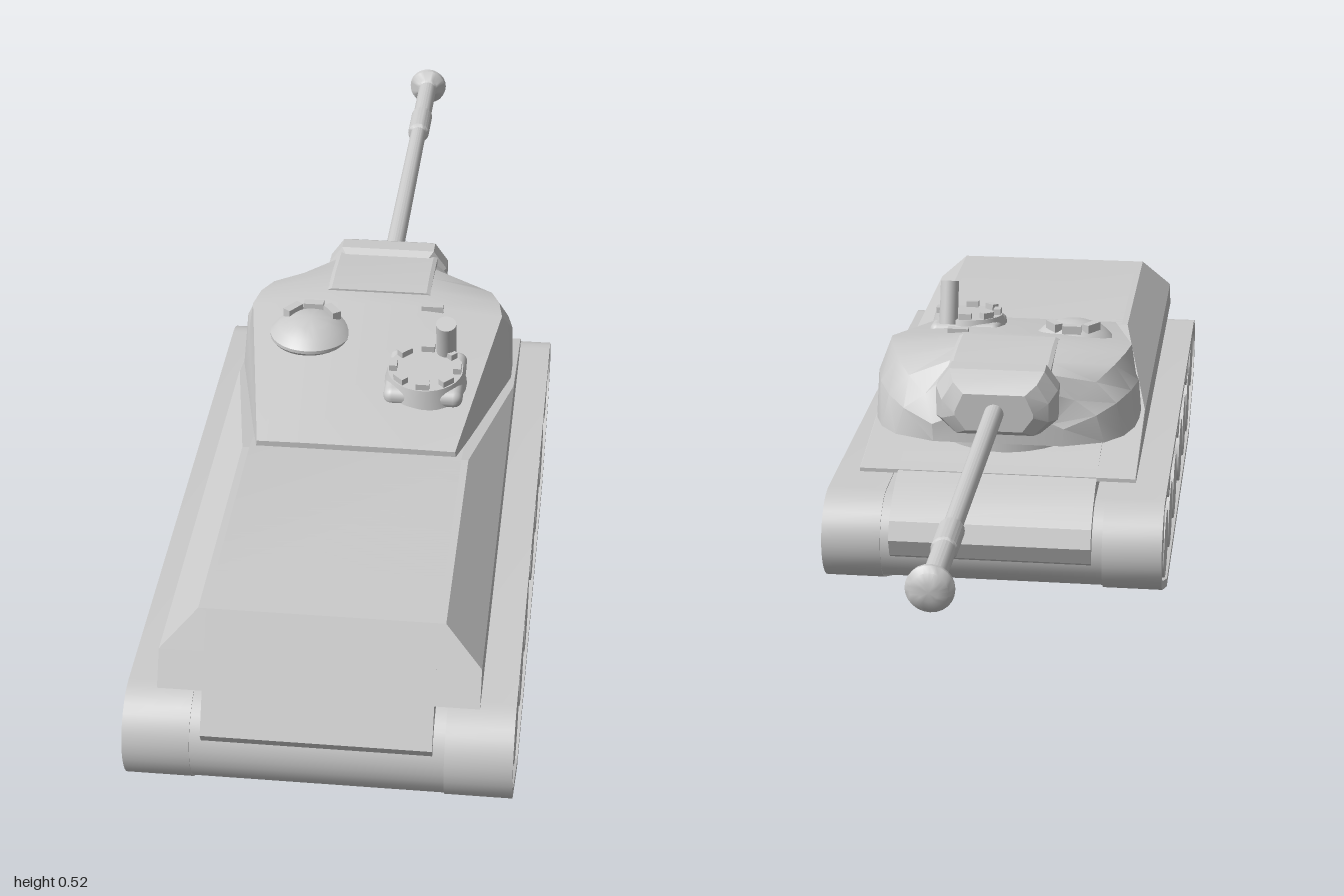
import * as THREE from 'three';
import { toCreasedNormals } from 'three/addons/utils/BufferGeometryUtils.js';
import { RoundedBoxGeometry } from 'three/addons/geometries/RoundedBoxGeometry.js';

const grey = new THREE.MeshStandardMaterial({ color: 0xcccccc });

function add(parent, name, geo, x = 0, y = 0, z = 0) {
  const mesh = new THREE.Mesh(geo, grey);
  mesh.name = name;
  mesh.position.set(x, y, z);
  parent.add(mesh);
  return mesh;
}

// Skin through rings that run anticlockwise seen from +z, ordered from +z to -z.
function loft(rings, crease = 0.4) {
  const out = [];
  const tri = (...ps) => ps.forEach((p) => out.push(...p));
  const n = rings[0].length;
  const centre = (r) => [0, 1, 2].map((k) => r.reduce((s, p) => s + p[k], 0) / n);
  const first = rings[0], last = rings[rings.length - 1];
  for (let i = 0; i < n; i++) {
    const j = (i + 1) % n;
    for (let r = 0; r < rings.length - 1; r++) {
      const a = rings[r], b = rings[r + 1];
      tri(a[i], b[i], a[j]);
      tri(a[j], b[i], b[j]);
    }
    tri(centre(first), first[i], first[j]);
    tri(centre(last), last[j], last[i]);
  }
  const geo = new THREE.BufferGeometry();
  geo.setAttribute('position', new THREE.Float32BufferAttribute(out, 3));
  geo.computeVertexNormals();
  return toCreasedNormals(geo, crease);
}

// Mirror the +x half of a section (bottom to top) into a closed ring.
const mirrored = (half) => [...half, ...half.map(([x, y, z]) => [-x, y, z]).reverse()];

// Extrude a side profile drawn in (z, y) from x0 to x1.
function sideExtrude(points, x0, x1, hole) {
  const shape = new THREE.Shape(points);
  if (hole) shape.holes.push(new THREE.Path(hole));
  const geo = new THREE.ExtrudeGeometry(shape, { depth: x1 - x0, bevelEnabled: false });
  return toCreasedNormals(geo.rotateY(-Math.PI / 2).translate(x1, 0, 0), 0.4);
}

const REAR = [0.915, 0.145], IDLER = [-0.17, 0.145];
function arc([cz, cy], r, from, to, steps = 14) {
  return Array.from({ length: steps + 1 }, (_, i) => {
    const a = THREE.MathUtils.degToRad(from + ((to - from) * i) / steps);
    return new THREE.Vector2(cz + r * Math.cos(a), cy + r * Math.sin(a));
  });
}
const trackLoop = (t) => [
  new THREE.Vector2(0.8 - t * 0.1, t), ...arc(REAR, 0.085 - t, -65.7, 90),
  ...arc(IDLER, 0.085 - t, 90, 248.4), new THREE.Vector2(-0.035 + t * 0.1, t),
];

function buildHull(root) {
  const hull = new THREE.Group();
  hull.name = 'hull';
  root.add(hull);
  const profile = [[0.94, 0.077], [1, 0.192], [0.9, 0.37], [0.44, 0.37], [-0.07, 0.28], [-0.18, 0.253],
    [-0.225, 0.232], [-0.26, 0.203], [-0.275, 0.17], [-0.262, 0.137], [-0.195, 0.092], [-0.16, 0.077]];
  add(hull, 'centreHull', sideExtrude(profile.map((p) => new THREE.Vector2(...p)), -0.185, 0.185));
  add(hull, 'lowerHullSides', sideExtrude(
    [...arc(REAR, 0.083, -53, 90), ...arc(IDLER, 0.083, 90, 233)], -0.204, 0.204));

  // Upper body: side overhangs with a chamfer that fades into the sloping front deck
  const section = (z, top, rake = 0) => {
    const shoulder = Math.min(0.31, top - 0.001);
    return mirrored([
      [0.257, 0.255, z + rake * (top - 0.255)],
      [0.257, shoulder, z + rake * (top - shoulder)],
      [0.257 - (top - shoulder), top, z],
    ]);
  };
  add(hull, 'upperHull', loft([
    section(0.9, 0.37, 0.56), section(0.44, 0.37), section(0.1, 0.31), section(-0.15, 0.262)], 0.1));
}

function buildRunningGear(root) {
  for (const side of [-1, 1]) {
    const gear = new THREE.Group();
    gear.name = side > 0 ? 'leftRunningGear' : 'rightRunningGear';
    root.add(gear);
    const [x0, x1] = side > 0 ? [0.204, 0.313] : [-0.313, -0.204];
    add(gear, 'track', sideExtrude(trackLoop(0), x0, x1, trackLoop(0.016)));
    const wheel = (name, z, y, r) => add(gear, name,
      new THREE.CylinderGeometry(r, r, 0.106, 28).rotateZ(Math.PI / 2), side * 0.256, y, z);
    for (const z of [0.79, 0.64, 0.49, 0.28, 0.13, -0.02]) wheel('roadWheel', z, 0.083, 0.065);
    for (const z of [0.717, 0.385, 0.056]) wheel('returnRoller', z, 0.177, 0.027);
    wheel('driveSprocket', 0.925, 0.145, 0.067);
    wheel('idlerWheel', IDLER[0], 0.145, 0.066);
  }
}

function buildTurret(root) {
  const turret = new THREE.Group();
  turret.name = 'turret';
  root.add(turret);

  // z, base half-width, base y, roof edge half-width, roof edge y, crown y
  const sections = [
    [0.43, 0.175, 0.365, 0.173, 0.378, 0.379],
    [0.08, 0.25, 0.317, 0.23, 0.447, 0.46],
    [0.03, 0.25, 0.317, 0.222, 0.446, 0.465],
    [-0.02, 0.245, 0.317, 0.205, 0.438, 0.463],
    [-0.07, 0.228, 0.317, 0.175, 0.42, 0.455],
    [-0.11, 0.195, 0.317, 0.14, 0.397, 0.445],
    [-0.14, 0.12, 0.317, 0.1, 0.36, 0.42],
  ];
  add(turret, 'turretShell', loft(sections.map(([z, wb, yb, wt, yt, yc], i) => {
    const bulge = i < 2 ? 0 : 0.012;
    return mirrored([[wb, yb, z], [(wb + wt) / 2 + bulge, (yb + yt) / 2 + bulge, z],
      [wt, yt, z], [0.09, yc, z]]);
  }), 0.45));
  add(turret, 'turretRing', new THREE.CylinderGeometry(0.17, 0.17, 0.06, 40), 0, 0.295, 0.09);
  // Raised roof over the gun
  add(turret, 'gunRoof', loft([[0.045, 0.467], [-0.02, 0.467], [-0.13, 0.455]].map(
    ([z, y]) => mirrored([[0.095, 0.36, z], [0.095, y - 0.003, z], [0.088, y, z]])), 0.2));

  // Mantlet: chamfered block, fullest in the middle
  const mantlet = [[-0.1, 0.1, 0.355, 0.457], [-0.115, 0.112, 0.345, 0.466], [-0.15, 0.112, 0.345, 0.464],
    [-0.18, 0.098, 0.35, 0.448], [-0.197, 0.072, 0.362, 0.432]];
  add(turret, 'mantlet', loft(mantlet.map(([z, w, lo, hi]) => mirrored([
    [w * 0.72, lo, z], [w, lo + 0.028, z], [w, hi - 0.035, z], [w * 0.78, hi, z]])), 0.3));

  // Barrel, sleeve and muzzle turned as one profile along -z
  const barrel = [[0, 0.15], [0.018, 0.15], [0.016, 0.745], [0.022, 0.75], [0.022, 0.83], [0.019, 0.835],
    [0.019, 0.96], [0.023, 0.965], [0.038, 0.976], [0.039, 0.984], [0.03, 0.994], [0.015, 1], [0, 1]];
  const tube = new THREE.LatheGeometry(barrel.map((p) => new THREE.Vector2(...p)), 24);
  add(turret, 'gunBarrel', toCreasedNormals(tube.rotateX(-Math.PI / 2), 0.5), 0, 0.396, 0);

  // Domed hatch with three vision blocks
  const dome = [[0, -0.012], [0.066, -0.012], [0.074, 0], [0.074, 0.006], [0.06, 0.02], [0.035, 0.031], [0, 0.036]];
  const hatch = new THREE.Group();
  hatch.name = 'domedHatch';
  hatch.position.set(-0.113, 0.432, 0.15);
  turret.add(hatch);
  add(hatch, 'hatchDome', toCreasedNormals(
    new THREE.LatheGeometry(dome.map((p) => new THREE.Vector2(...p)), 32), 0.5));
  for (const a of [-0.95, 0, 0.95]) {
    add(hatch, 'visionBlock', new THREE.BoxGeometry(0.036, 0.016, 0.016),
      Math.sin(a) * 0.044, 0.032, -Math.cos(a) * 0.044).rotation.y = -a;
  }

  // Commander's cupola: squared base, round cap, ring of vision blocks
  const cupola = new THREE.Group();
  cupola.name = 'cupola';
  cupola.position.set(0.106, 0.41, 0.26);
  cupola.rotation.x = 0.08;
  turret.add(cupola);
  add(cupola, 'cupolaBase', new RoundedBoxGeometry(0.14, 0.034, 0.14, 3, 0.016), 0, 0.005, -0.005);
  add(cupola, 'cupolaCap', new THREE.CylinderGeometry(0.067, 0.077, 0.04, 32), 0, 0.01, 0);
  for (let i = 0; i < 8; i++) {
    const a = (i * Math.PI) / 4;
    add(cupola, 'visionBlock', new THREE.BoxGeometry(0.024, 0.015, 0.014),
      Math.sin(a) * 0.057, 0.034, Math.cos(a) * 0.057).rotation.y = a;
  }
  add(turret, 'periscope', new THREE.CylinderGeometry(0.018, 0.018, 0.085, 20), 0.139, 0.474, 0.217)
    .rotation.x = 0.3;
  add(turret, 'roofSight', new THREE.BoxGeometry(0.04, 0.02, 0.016), 0.103, 0.456, 0.084);
}

export function createModel() {
  const root = new THREE.Group();
  root.name = 'tank';
  buildHull(root);
  buildRunningGear(root);
  buildTurret(root);
  return root;
}
